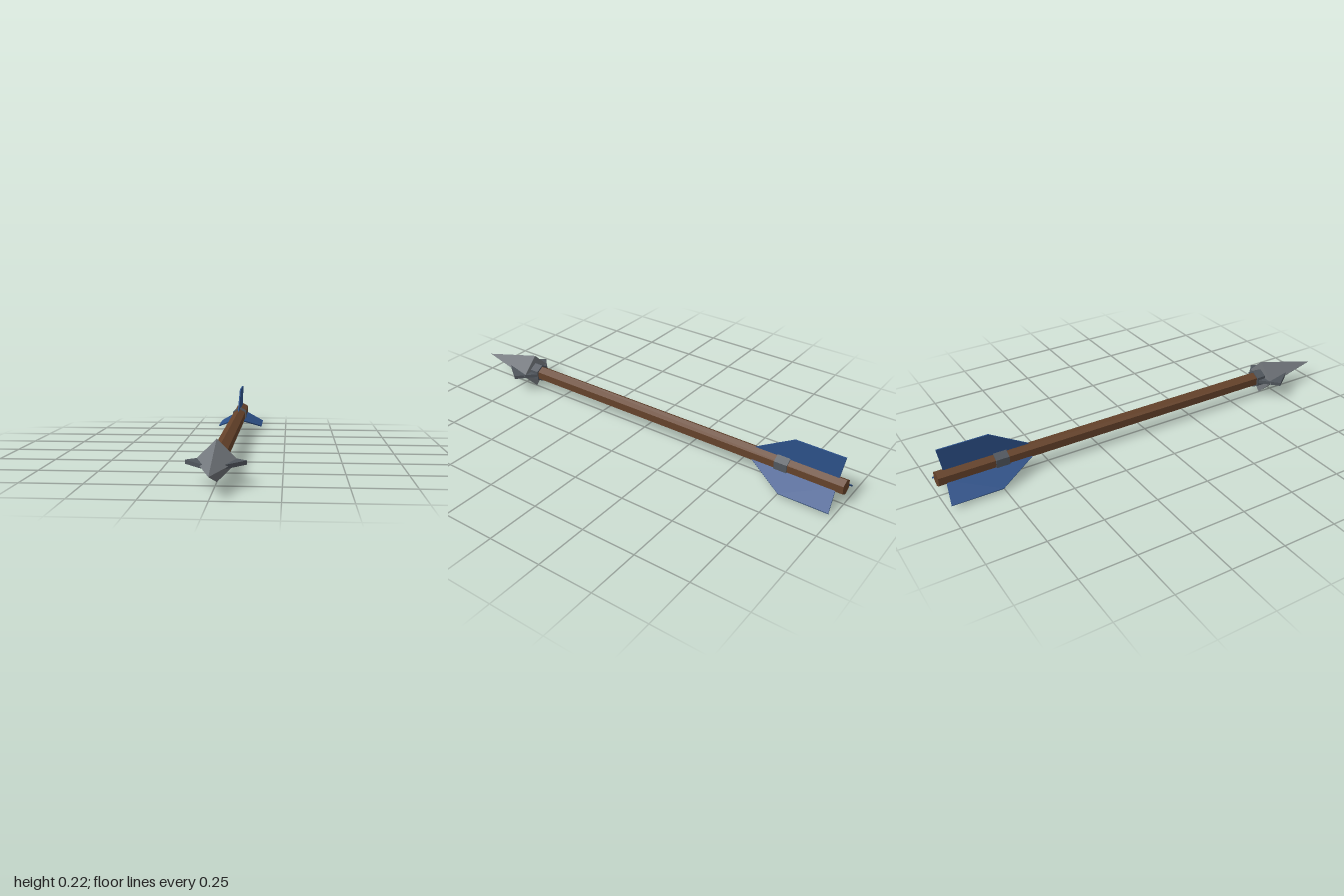
import * as THREE from 'three';

const AXIS_Y = 0.084;

const flat = (name, color) => {
  const m = new THREE.MeshStandardMaterial({ color });
  m.name = name;
  m.flatShading = true;
  return m;
};

// Faceted cylinder along z from z0 to z1, with an edge pointing straight up
function rod(z0, z1, rBack, rFront, sides) {
  return new THREE.CylinderGeometry(rFront, rBack, z1 - z0, sides)
    .rotateX(Math.PI / 2)
    .translate(0, 0, (z0 + z1) / 2);
}

// Flat plate from [radius, z] points, turned about the shaft axis
function plate(points, thickness, angle) {
  const shape = new THREE.Shape(points.map(([r, z]) => new THREE.Vector2(r, z)));
  return new THREE.ExtrudeGeometry(shape, { depth: thickness, bevelEnabled: false })
    .rotateX(Math.PI / 2)
    .translate(0, thickness / 2, 0)
    .rotateZ(angle);
}

export function createModel() {
  const wood = flat('brown wood', 0x65422a);
  const steel = flat('grey steel', 0x74797e);
  const iron = flat('dark iron', 0x50565d);
  const feather = flat('blue feather', 0x2c5088);

  const model = new THREE.Group();
  model.name = 'arrow';
  const body = new THREE.Group();
  body.name = 'arrowBody';
  body.position.y = AXIS_Y;
  model.add(body);

  const add = (name, geometry, material) => {
    const mesh = new THREE.Mesh(geometry, material);
    mesh.name = name;
    body.add(mesh);
  };

  // Shaft and its two bands
  add('shaft', rod(-1, 0.66, 0.035, 0.035, 6), wood);
  add('headCollar', rod(0.635, 0.69, 0.043, 0.043, 6), iron);
  add('fletchingBand', rod(-0.75, -0.69, 0.04, 0.04, 6), iron);

  // Four-sided point
  add('arrowhead', rod(0.68, 1, 0.084, 0, 4), steel);

  // Side barbs
  const barb = [[0.02, 0.63], [0.036, 0.64], [0.117, 0.715], [0.04, 0.815], [0.02, 0.815]];
  add('leftBarb', plate(barb, 0.016, 0), iron);
  add('rightBarb', plate(barb, 0.016, Math.PI), iron);

  // Three feathers, evenly spaced with one on top
  const fin = [[0.02, -0.965], [0.135, -0.985], [0.135, -0.76], [0.034, -0.585], [0.02, -0.585]];
  ['topFeather', 'rightFeather', 'leftFeather'].forEach((name, i) => {
    add(name, plate(fin, 0.006, Math.PI / 2 + (i * 2 * Math.PI) / 3), feather);
  });

  return model;
}
